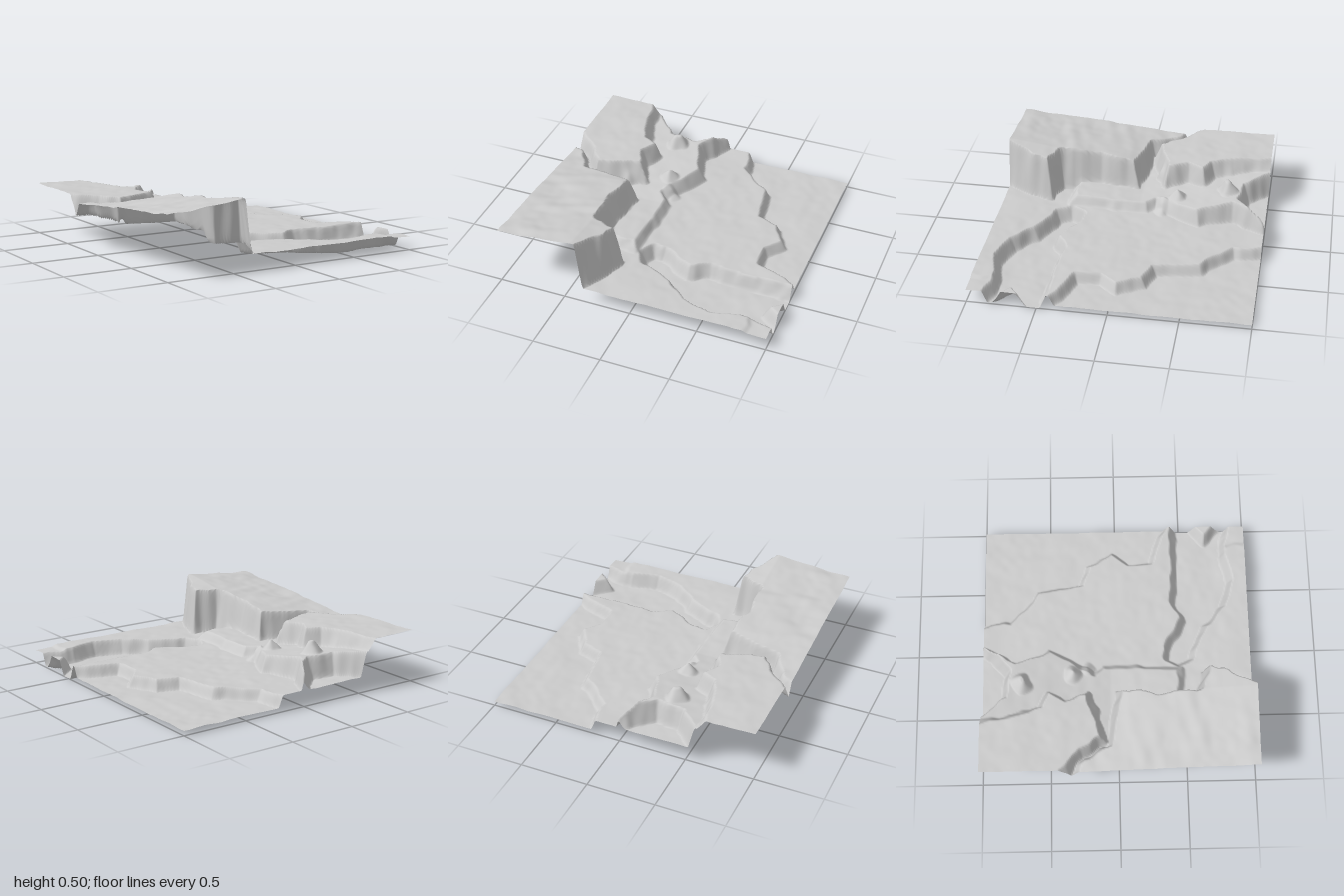
import * as THREE from 'three';

const { lerp, clamp, smoothstep } = THREE.MathUtils;
const SEGMENTS = 200;

// Seeded value noise in -1..1
function hash(i, j) {
  const s = Math.sin(i * 127.1 + j * 311.7) * 43758.5453;
  return (s - Math.floor(s)) * 2 - 1;
}
function noise(x, z) {
  const i = Math.floor(x), j = Math.floor(z);
  const u = smoothstep(x - i, 0, 1), v = smoothstep(z - j, 0, 1);
  return lerp(lerp(hash(i, j), hash(i + 1, j), u), lerp(hash(i, j + 1), hash(i + 1, j + 1), u), v);
}

// Signed distance to a closed outline of [x, z] corners; positive inside
function insideDistance(x, z, outline) {
  let best = Infinity, inside = false;
  outline.forEach(([bx, bz], i) => {
    const [ax, az] = outline.at(i - 1);
    const dx = bx - ax, dz = bz - az;
    const t = clamp(((x - ax) * dx + (z - az) * dz) / (dx * dx + dz * dz), 0, 1);
    best = Math.min(best, Math.hypot(x - ax - t * dx, z - az - t * dz));
    if ((az > z) !== (bz > z) && x < ax + (z - az) / dz * dx) inside = !inside;
  });
  return inside ? best : -best;
}

// Cliff outlines; they run past the tile where land continues to its border
const lowland = [[0.18, -1.2], [0.24, -0.8], [0.47, -0.59], [0.53, -0.26], [0.7, -0.2],
  [0.79, -0.03], [0.7, 0.1], [0.72, 0.27], [1.2, 0.48], [1.2, -1.2]];
const terrace = [[-1.2, 0.49], [-0.17, 0.47], [-0.15, -0.1], [-0.21, -0.17], [-0.04, -0.5],
  [-0.12, -0.75], [-0.01, -1], [-0.2, -0.81], [-0.4, -0.84], [-0.58, -1.05], [-1.2, -1.05]];
const backPlateau = [[-1.2, -1.2], [-0.66, -1.2], [-0.56, -0.72], [-0.5, -0.56], [-0.39, -0.51],
  [-0.47, -0.38], [-0.4, -0.21], [-0.76, -0.1], [-0.86, -0.28], [-1.2, -0.56]];
const frontPlateau = [[-1.2, -0.5], [-0.89, -0.25], [-0.8, -0.07], [-0.38, 0.01], [-0.43, 0.3],
  [-0.4, 0.6], [-0.22, 0.66], [-0.46, 1.2], [-1.2, 1.2]];
const basin = [[1.2, 0.46], [0.38, 0.44], [0.25, 0.5], [0, 0.37], [-0.08, 0.38], [-0.12, 0.46],
  [-0.08, 0.55], [0.2, 0.67], [0.35, 0.82], [0.55, 0.88], [0.77, 0.82], [1.2, 0.89]];
const island = [[1.2, 0.45], [0.9, 0.69], [1.2, 1]];

function groundHeight(x, z) {
  // Ragged cliff lines
  const px = x + 0.015 * noise(x * 14, z * 14 + 40);
  const pz = z + 0.015 * noise(x * 14 + 70, z * 14);

  // Valley floor, a little lower in the front corner
  let y = 0.122 - 0.014 * smoothstep(px, 0.82, 0.86) * smoothstep(z, 0.5, 0.6);
  const level = (distance, height, slope) => {
    y = lerp(y, height, clamp((distance + slope) / (2 * slope), 0, 1));
  };
  const land = (outline, height, slope) => level(insideDistance(px, pz, outline), height, slope);
  const rock = (cx, cz, radius, height) => level(radius - Math.hypot(px - cx, pz - cz), y + height, 0.03);

  land(lowland, 0.042, 0.02);

  // Middle terrace, climbing to the back and reaching into the gully
  land(terrace, 0.19 + 0.122 * Math.max(0, -z - 0.05), 0.025);
  rock(-0.31, -0.7, 0.05, 0.09);
  rock(-0.23, -0.33, 0.035, 0.07);
  rock(-0.17, -0.22, 0.03, 0.05);

  land(backPlateau, 0.382 - 0.01 * z, 0.025);

  // Front plateau, tilted up to the front with a drooping right edge
  const tilt = 0.45 + 0.1 * (x + 1) + (0.086 + 0.045 * (x + 1)) * (z - 1) - 0.2 * Math.max(0, x + 0.43);
  land(frontPlateau, tilt + 0.007 * noise(x * 5 + z * 3, z * 12), 0.025);

  land(basin, 0.012, 0.022);
  land(island, 0.12, 0.025);

  // Gentle unevenness
  return Math.max(0, y + 0.004 * noise(x * 7, z * 7) + 0.002 * noise(x * 17, z * 17));
}

export function createModel() {
  const group = new THREE.Group();
  group.name = 'landscape';

  const geometry = new THREE.PlaneGeometry(2, 2, SEGMENTS, SEGMENTS).rotateX(-Math.PI / 2);
  const position = geometry.attributes.position;
  for (let i = 0; i < position.count; i++) {
    position.setY(i, groundHeight(position.getX(i), position.getZ(i)));
  }
  geometry.computeVertexNormals();

  const material = new THREE.MeshStandardMaterial({ color: 0xcccccc, side: THREE.DoubleSide });
  const terrain = new THREE.Mesh(geometry, material);
  terrain.name = 'terrain';
  group.add(terrain);
  return group;
}
